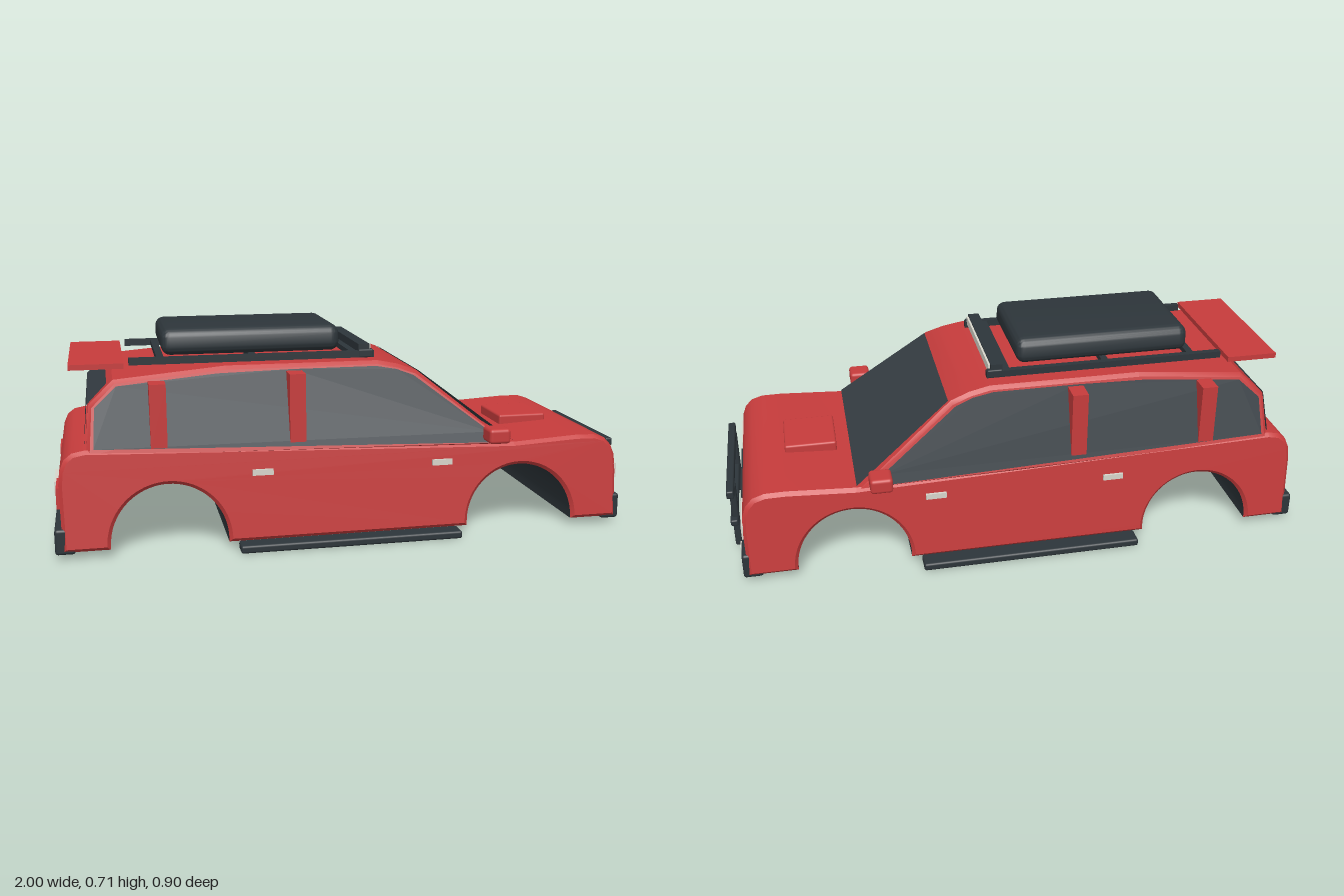
import * as THREE from 'three';
import { toCreasedNormals } from 'three/addons/utils/BufferGeometryUtils.js';
import { RoundedBoxGeometry } from 'three/addons/geometries/RoundedBoxGeometry.js';

const mat = (name, color, side = THREE.FrontSide) => {
  const m = new THREE.MeshStandardMaterial({ color, side });
  m.name = name;
  return m;
};

export function createModel() {
  const car = new THREE.Group();
  car.name = 'car';
  const red = mat('red paint', 0xc63c3c);
  const dark = mat('dark trim', 0x2d353a);
  const glass = mat('tinted glass', 0x353d43, THREE.DoubleSide);
  const pale = mat('pale lamps', 0xd8d6cc);

  const add = (name, geometry, material, x = 0, y = 0, z = 0) => {
    const mesh = new THREE.Mesh(geometry, material);
    mesh.name = name;
    mesh.position.set(x, y, z);
    car.add(mesh);
    return mesh;
  };
  // Box given by its limits along each axis; r rounds the edges
  const box = (name, material, [x0, x1], [y0, y1], [z0, z1], r = 0) => {
    const size = [x1 - x0, y1 - y0, z1 - z0];
    const g = r ? new RoundedBoxGeometry(...size, 3, r) : new THREE.BoxGeometry(...size);
    return add(name, g, material, (x0 + x1) / 2, (y0 + y1) / 2, (z0 + z1) / 2);
  };
  // The same box on both sides of the car
  const pair = (name, material, xs, ys, [z0, z1], r) => {
    box(name + 'Left', material, xs, ys, [z0, z1], r);
    box(name + 'Right', material, xs, ys, [-z1, -z0], r);
  };

  // Half widths by height: the sides lean inwards
  const bodyHalf = (y) => 0.402 - (y - 0.03) * 0.1;
  const cabinHalf = (y) => 0.372 - (y - 0.33) * 0.31;

  // Side profile extruded across the car, then narrowed with height
  const hull = (shape, half, bevel) => {
    const t = bevel / 0.38;
    const g = new THREE.ExtrudeGeometry(shape, {
      depth: 2 - 2 * t, curveSegments: 20, bevelEnabled: true,
      bevelThickness: t, bevelSize: bevel, bevelOffset: -bevel, bevelSegments: 1,
    });
    g.translate(0, 0, t - 1);
    const p = g.attributes.position;
    for (let i = 0; i < p.count; i++) p.setZ(i, p.getZ(i) * half(p.getY(i)));
    g.computeVertexNormals();
    return g;
  };

  // Lower body with two wheel arches
  const s = new THREE.Shape();
  s.moveTo(-0.97, 0.03);
  for (const x of [-0.625, 0.59]) {
    s.lineTo(x - 0.193, 0.03);
    s.absarc(x, 0.042, 0.193, Math.PI, 0, true);
    s.lineTo(x + 0.193, 0.03);
  }
  [[0.95, 0.03], [0.952, 0.2], [0.948, 0.25], [0.935, 0.285], [0.91, 0.312], [0.87, 0.325], [0.8, 0.326],
    [0.57, 0.313], [-0.89, 0.358], [-0.93, 0.35], [-0.955, 0.33], [-0.97, 0.295], [-0.975, 0.25]]
    .forEach(([x, y]) => s.lineTo(x, y));
  s.closePath();
  const body = hull(s, bodyHalf, 0.012);
  // Underside and arch walls are dark, everything else is painted
  const p = body.attributes.position, n = body.attributes.normal;
  body.clearGroups();
  for (let i = 0; i < p.count; i += 3) {
    const cx = (p.getX(i) + p.getX(i + 1) + p.getX(i + 2)) / 3;
    const cy = (p.getY(i) + p.getY(i + 1) + p.getY(i + 2)) / 3;
    const under = cy < 0.24 && cx > -0.945 && cx < 0.93 && Math.abs(n.getZ(i)) < 0.5;
    body.addGroup(i, 3, under ? 1 : 0);
  }
  add('lowerBody', toCreasedNormals(body, 0.6), [red, dark]);

  // Cabin
  const poly = (pts) => new THREE.Shape(pts.map(([x, y]) => new THREE.Vector2(x, y)));
  const cabin = hull(poly([[-0.885, 0.33], [0.555, 0.31], [0.235, 0.567], [0.17, 0.59], [0.1, 0.604],
    [-0.42, 0.604], [-0.79, 0.572], [-0.872, 0.495]]), cabinHalf, 0.012);
  add('cabin', toCreasedNormals(cabin, 0.5), red);

  // Side glass follows the leaning cabin wall
  for (const side of [1, -1]) {
    const g = new THREE.ShapeGeometry(poly([[-0.86, 0.36], [0.525, 0.318], [0.48, 0.355], [0.22, 0.553],
      [0.16, 0.575], [0.09, 0.587], [-0.2, 0.587], [-0.45, 0.582], [-0.78, 0.553], [-0.852, 0.488]]));
    const q = g.attributes.position;
    for (let i = 0; i < q.count; i++) q.setZ(i, side * (cabinHalf(q.getY(i)) + 0.003));
    g.computeVertexNormals();
    add(side > 0 ? 'sideGlassLeft' : 'sideGlassRight', g, glass);
  }

  // Windscreen and rear window: strips across the car through side points
  const strip = (name, pts, inset) => {
    const v = [], idx = [];
    pts.forEach(([x, y], i) => {
      const w = cabinHalf(y) - inset;
      v.push(x, y, w, x, y, -w);
      if (i) idx.push(2 * i - 2, 2 * i - 1, 2 * i, 2 * i - 1, 2 * i + 1, 2 * i);
    });
    const g = new THREE.BufferGeometry();
    g.setAttribute('position', new THREE.Float32BufferAttribute(v, 3));
    g.setIndex(idx);
    const flat = g.toNonIndexed();
    flat.computeVertexNormals();
    add(name, flat, glass);
  };
  strip('windscreen', [[0.568, 0.318], [0.243, 0.565]], 0.014);
  strip('rearWindow', [[-0.889, 0.362], [-0.876, 0.496], [-0.81, 0.561]], 0.015);

  // Upright window pillars
  pair('rearPillar', red, [-0.678, -0.624], [0.355, 0.565], [0.29, 0.368]);
  pair('middlePillar', red, [-0.22, -0.166], [0.345, 0.582], [0.285, 0.368]);

  // Mirrors, door handles, side steps
  pair('mirror', red, [0.453, 0.528], [0.327, 0.379], [0.365, 0.445], 0.012);
  pair('rearHandle', pale, [-0.35, -0.28], [0.25, 0.27], [0.37, 0.386]);
  pair('frontHandle', pale, [0.27, 0.34], [0.25, 0.27], [0.37, 0.386]);
  pair('sideStep', dark, [-0.4, 0.362], [0.003, 0.03], [0.383, 0.45], 0.008);

  // Bonnet scoop and roof spoiler
  box('bonnetScoop', red, [0.615, 0.795], [0.3, 0.35], [-0.103, 0.103], 0.008);
  box('roofSpoiler', red, [-0.93, -0.752], [0.602, 0.62], [-0.26, 0.26]);

  // Roof rack
  pair('rackRail', dark, [-0.735, 0.1], [0.607, 0.63], [0.207, 0.229]);
  [-0.63, -0.32, 0.03].forEach((x) =>
    box('rackCrossbar', dark, [x - 0.012, x + 0.012], [0.61, 0.628], [-0.21, 0.21]));

  // Roof box, narrowing towards the lid
  const lid = new RoundedBoxGeometry(0.61, 0.09, 0.39, 4, 0.03);
  const lp = lid.attributes.position;
  for (let i = 0; i < lp.count; i++) {
    const k = 1 - 0.06 * Math.max(0, lp.getY(i) / 0.045);
    lp.setZ(i, lp.getZ(i) * k);
  }
  lid.computeVertexNormals();
  add('roofBox', toCreasedNormals(lid, 0.7), dark, -0.318, 0.673, 0);

  // Roof light bar
  box('lightBarHousing', dark, [0.045, 0.085], [0.615, 0.653], [-0.225, 0.225]);
  box('lightBarLamp', pale, [0.084, 0.092], [0.62, 0.649], [-0.212, 0.212]);
  pair('lightBarBracket', dark, [0.045, 0.098], [0.606, 0.635], [0.206, 0.23], 0.005);

  // Front face
  box('frontBumper', dark, [0.9, 0.966], [0.02, 0.11], [-0.392, 0.392], 0.01);
  box('grille', dark, [0.94, 0.958], [0.14, 0.212], [-0.162, 0.162]);
  pair('headlight', pale, [0.94, 0.957], [0.165, 0.218], [0.197, 0.374]);
  box('frontPlate', pale, [0.964, 0.971], [0.041, 0.091], [-0.096, 0.096]);
  for (const z of [0.28, -0.28]) {
    add('fogLamp', new THREE.CylinderGeometry(0.024, 0.024, 0.01, 20), pale, 0.966, 0.069, z).rotation.z = -Math.PI / 2;
  }

  // Bull bar
  pair('bullBarPost', dark, [0.97, 0.994], [0.026, 0.275], [0.168, 0.198], 0.008);
  box('bullBarTop', dark, [0.974, 1], [0.25, 0.279], [-0.251, 0.251], 0.006);
  box('bullBarMiddle', dark, [0.974, 1], [0.122, 0.145], [-0.222, 0.222], 0.006);

  // Rear face
  box('rearBumper', dark, [-0.995, -0.93], [0.022, 0.108], [-0.394, 0.394], 0.01);
  box('rearPlate', pale, [-1, -0.97], [0.135, 0.185], [-0.09, 0.09]);
  pair('tailLamp', red, [-0.985, -0.97], [0.165, 0.235], [0.22, 0.35]);

  return car;
}
